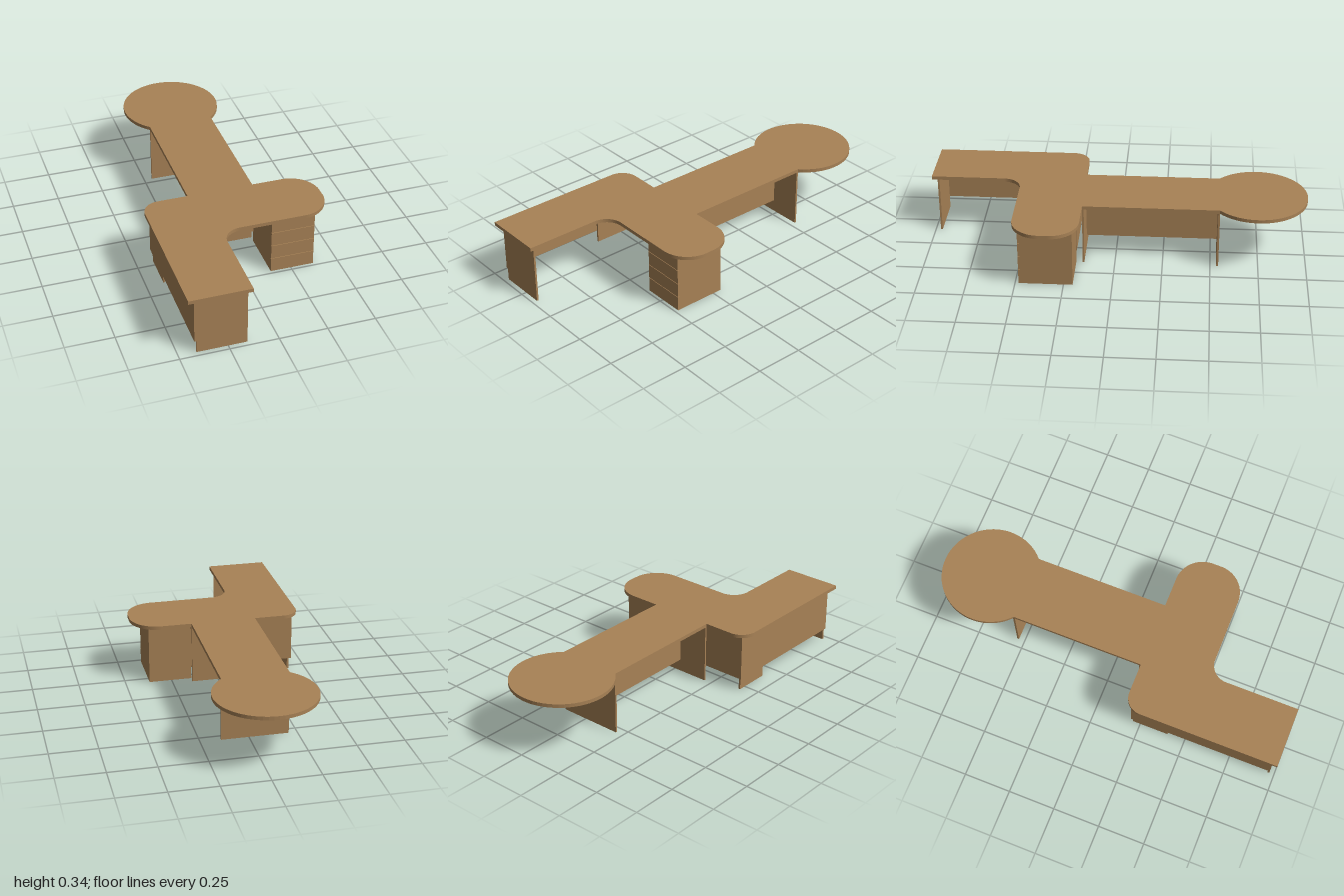
import * as THREE from 'three';

const TOP_LOW = 0.316, TOP_HIGH = 0.335, RAIL = 0.066;

export function createModel() {
  const model = new THREE.Group();
  model.name = 'deskWithMeetingTable';
  const wood = new THREE.MeshStandardMaterial({ color: 0xa88256 });
  wood.name = 'lightWood';

  // Box given by its limits on each axis
  const board = (name, [x0, x1], [y0, y1], [z0, z1], parent = model) => {
    const mesh = new THREE.Mesh(new THREE.BoxGeometry(x1 - x0, y1 - y0, z1 - z0), wood);
    mesh.position.set((x0 + x1) / 2, (y0 + y1) / 2, (z0 + z1) / 2);
    mesh.name = name;
    parent.add(mesh);
  };

  // Worktop outline, drawn with shape y = -z
  const cx = -0.0325, cy = 0.7375, r = 0.2625;
  const neckLeft = -0.206, neckRight = 0.143;
  const aRight = -Math.acos((neckRight - cx) / r);
  const aLeft = Math.PI + Math.acos((cx - neckLeft) / r);
  const s = new THREE.Shape();
  s.moveTo(-0.455, -1);
  s.lineTo(-0.135, -1);
  s.lineTo(-0.135, -0.61);
  s.absarc(-0.04, -0.61, 0.095, Math.PI, Math.PI / 2, true); // inner corner
  s.lineTo(0.305, -0.515);
  s.absarc(0.305, -0.365, 0.15, -Math.PI / 2, 0, false); // rounded end
  s.absarc(0.305, -0.32, 0.15, 0, Math.PI / 2, false);
  s.lineTo(neckRight, -0.17);
  s.absarc(cx, cy, r, aRight, aLeft, false); // round meeting end
  s.lineTo(neckLeft, -0.17);
  s.lineTo(-0.365, -0.17);
  s.absarc(-0.365, -0.26, 0.09, Math.PI / 2, Math.PI, false); // outer back corner
  s.closePath();
  const topGeo = new THREE.ExtrudeGeometry(s, {
    depth: TOP_HIGH - TOP_LOW, bevelEnabled: false, curveSegments: 24,
  });
  topGeo.rotateX(-Math.PI / 2);
  const top = new THREE.Mesh(topGeo, wood);
  top.position.y = TOP_LOW;
  top.name = 'worktop';
  model.add(top);

  // Side wing: end leg, outer panel and corner leg
  const full = [0, TOP_LOW], raised = [RAIL, TOP_LOW];
  board('wingEndLeg', [-0.409, -0.153], full, [0.964, 0.974]);
  board('wingModestyPanel', [-0.419, -0.409], raised, [0.2, 0.974]);
  board('cornerLeg', [-0.409, -0.399], full, [0.21, 0.405]);

  // Main desk back panel
  board('deskModestyPanel', [-0.409, 0.141], raised, [0.2, 0.21]);

  // Meeting table: two legs joined by a central panel
  board('meetingFrontLeg', [neckLeft, neckRight], full, [0.161, 0.17]);
  board('meetingBackLeg', [neckLeft, neckRight], full, [-0.543, -0.533]);
  board('meetingModestyPanel', [cx - 0.005, cx + 0.005], raised, [-0.533, 0.161]);

  // Pedestal with four drawer fronts separated by narrow gaps
  const pedestal = new THREE.Group();
  pedestal.name = 'drawerPedestal';
  model.add(pedestal);
  const px = [0.141, 0.371], step = TOP_LOW / 4, gap = 0.0015;
  board('pedestalBody', px, full, [0.203, 0.472], pedestal);
  for (let i = 0; i < 4; i++) {
    const y = [i * step + (i ? gap : 0), (i + 1) * step - (i < 3 ? gap : 0)];
    board('drawerFront' + (i + 1), px, y, [0.472, 0.482], pedestal);
  }
  return model;
}
